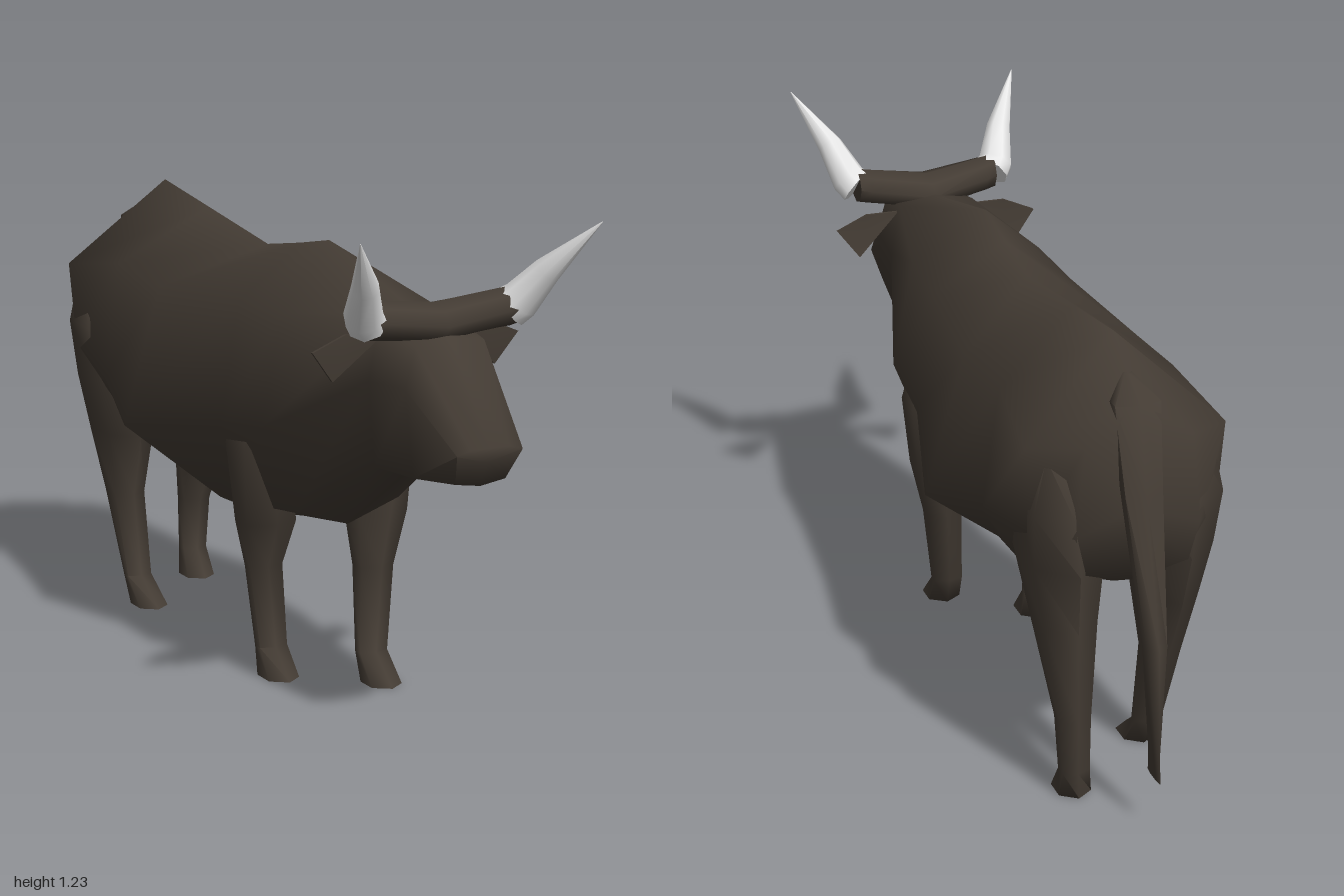
import * as THREE from 'three';
import { toCreasedNormals } from 'three/addons/utils/BufferGeometryUtils.js';

// Closed skin over a list of rings (each ring: the same number of [x, y, z] points)
function loft(rings, crease = 1.2) {
  const n = rings[0].length, pos = [], idx = [];
  rings.forEach(r => r.forEach(p => pos.push(...p)));
  for (let i = 0; i < rings.length - 1; i++) {
    for (let j = 0; j < n; j++) {
      const a = i * n + j, b = i * n + (j + 1) % n;
      idx.push(a, b, a + n, b, b + n, a + n);
    }
  }
  // end caps
  [0, rings.length - 1].forEach((k, end) => {
    const c = pos.length / 3, r = rings[k];
    pos.push(...[0, 1, 2].map(d => r.reduce((s, p) => s + p[d], 0) / n));
    for (let j = 0; j < n; j++) {
      const a = k * n + j, b = k * n + (j + 1) % n;
      idx.push(...(end ? [c, a, b] : [c, b, a]));
    }
  });
  // turn the faces outward
  const v = i => new THREE.Vector3().fromArray(pos, i * 3);
  let volume = 0;
  for (let i = 0; i < idx.length; i += 3) volume += v(idx[i]).dot(v(idx[i + 1]).cross(v(idx[i + 2])));
  if (volume < 0) idx.reverse();
  const g = new THREE.BufferGeometry();
  g.setAttribute('position', new THREE.Float32BufferAttribute(pos, 3));
  g.setIndex(idx);
  return toCreasedNormals(g, crease);
}

// Points around an ellipse; place(c, s) turns cosine and sine into a point
function ring(n, place) {
  return Array.from({ length: n }, (_, i) => {
    const t = (i / n + 0.25) * Math.PI * 2;
    return place(Math.cos(t), Math.sin(t));
  });
}

// Mirrored body section: z of ridge, sides and keel, then ridge, back edge, flank, lower edge, keel
function section([zT, zM, zB, top, ax, ay, bx, by, cx, cy, bottom]) {
  const side = [[ax, ay, zM], [bx, by, zM], [cx, cy, zB]];
  return [[0, top, zT], ...side, [0, bottom, zB], ...side.reverse().map(([x, y, z]) => [-x, y, z])];
}

// Six-sided leg; rows hold height, x centre, half width, rear z, front z
function leg(rows, side) {
  return loft(rows.map(([y, x, w, z0, z1]) =>
    ring(6, (c, s) => [side * x + w * c / 0.866, y, (z0 + z1) / 2 + (z1 - z0) / 2 * s])), 1.4);
}

export function createModel() {
  const group = new THREE.Group();
  const hide = new THREE.MeshStandardMaterial({ color: 0x443c34 });
  hide.name = 'dark brown hide';
  const horn = new THREE.MeshStandardMaterial({ color: 0xececec });
  horn.name = 'pale horn';
  const add = (name, geometry, material) => {
    const m = new THREE.Mesh(geometry, material);
    m.name = name;
    group.add(m);
  };

  // Head and trunk in one skin, from muzzle to rump
  const sections = [
    [1.0, 1.0, 0.96, 0.75, 0.05, 0.75, 0.085, 0.74, 0.065, 0.665, 0.655],
    [0.82, 0.82, 0.8, 0.965, 0.09, 0.955, 0.115, 0.86, 0.08, 0.645, 0.63],
    [0.67, 0.67, 0.63, 1.0, 0.1, 0.98, 0.125, 0.85, 0.085, 0.635, 0.61],
    [0.25, 0.33, 0.35, 1.1, 0.17, 0.95, 0.225, 0.68, 0.14, 0.47, 0.42],
    [0.1, 0.12, 0.12, 1.07, 0.18, 0.94, 0.228, 0.64, 0.14, 0.425, 0.385],
    [-0.07, -0.24, -0.14, 1.04, 0.22, 0.92, 0.32, 0.575, 0.1, 0.385, 0.335],
    [-0.4, -0.49, -0.5, 1.085, 0.215, 0.94, 0.258, 0.64, 0.17, 0.5, 0.45],
    [-0.66, -0.75, -0.68, 1.12, 0.242, 0.9, 0.222, 0.68, 0.17, 0.55, 0.5],
    [-0.83, -0.835, -0.82, 1.01, 0.13, 0.92, 0.15, 0.7, 0.13, 0.6, 0.57],
  ];
  add('body', loft(sections.map(section), 1.5), hide);

  // Legs in mid-stride, each flaring into a wedge hoof
  add('frontLegLeft', leg([
    [0.7, 0.15, 0.04, 0.18, 0.32], [0.6, 0.155, 0.06, 0.155, 0.34], [0.42, 0.127, 0.068, 0.185, 0.335],
    [0.28, 0.12, 0.045, 0.215, 0.307], [0.07, 0.1, 0.038, 0.265, 0.317], [0, 0.1, 0.042, 0.285, 0.4]], 1), hide);
  add('frontLegRight', leg([
    [0.7, 0.15, 0.04, 0.1, 0.27], [0.6, 0.155, 0.06, 0.07, 0.27], [0.4, 0.127, 0.068, 0.1, 0.225],
    [0.28, 0.12, 0.045, 0.11, 0.165], [0.07, 0.1, 0.038, 0.113, 0.165], [0, 0.1, 0.042, 0.115, 0.24]], -1), hide);
  add('hindLegLeft', leg([
    [0.88, 0.15, 0.05, -0.8, -0.7], [0.74, 0.15, 0.08, -0.835, -0.6], [0.6, 0.137, 0.085, -0.835, -0.53],
    [0.45, 0.137, 0.065, -0.825, -0.61], [0.21, 0.13, 0.038, -0.81, -0.725],
    [0.07, 0.125, 0.034, -0.797, -0.735], [0, 0.12, 0.04, -0.79, -0.675]], 1), hide);
  add('hindLegRight', leg([
    [0.88, 0.15, 0.05, -0.8, -0.7], [0.74, 0.15, 0.08, -0.835, -0.6], [0.6, 0.137, 0.085, -0.825, -0.51],
    [0.46, 0.137, 0.065, -0.775, -0.535], [0.29, 0.135, 0.043, -0.7, -0.585],
    [0.07, 0.125, 0.034, -0.615, -0.565], [0, 0.12, 0.04, -0.59, -0.47]], -1), hide);

  // Tail: y, half width, rear z, front z
  const tail = [
    [1.055, 0.01, -0.765, -0.74], [1.005, 0.055, -0.838, -0.77], [0.8, 0.045, -0.885, -0.82],
    [0.46, 0.025, -0.977, -0.92], [0.13, 0.003, -1.0, -0.92]];
  add('tail', loft(tail.map(([y, w, z0, z1]) =>
    ring(6, (c, s) => [w * c / 0.866, y, (z0 + z1) / 2 + (z1 - z0) / 2 * s]))), hide);

  // Thick bony ridge across the top of the head
  const ridge = [-0.188, -0.16, 0, 0.16, 0.188].map(x => {
    const k = Math.abs(x) / 0.188;
    return ring(8, (c, s) => [x, 0.99 + 0.025 * k + 0.046 * c, 0.745 + 0.027 * k * k + (0.075 - 0.025 * k) * s]);
  });
  add('hornRidge', loft(ridge), hide);

  for (const side of [1, -1]) {
    const label = side > 0 ? 'Left' : 'Right';

    // Horn: tapered curve, sweeping out, up and forward
    const path = new THREE.CatmullRomCurve3([[0.186, 1.012, 0.772], [0.205, 1.03, 0.788], [0.235, 1.105, 0.85], [0.31, 1.228, 0.96]]
      .map(([x, y, z]) => new THREE.Vector3(side * x, y, z)));
    const rings = [[0, 0.05], [0.33, 0.047], [0.67, 0.033], [1, 0.001]].map(([t, r]) => {
      const p = path.getPoint(t);
      const q = new THREE.Quaternion().setFromUnitVectors(new THREE.Vector3(0, 1, 0), path.getTangent(t));
      return ring(8, (c, s) => new THREE.Vector3(r * c, 0, r * s).applyQuaternion(q).add(p).toArray());
    });
    add('horn' + label, loft(rings), horn);

    // Ear: thin leaf swept slightly back
    const ear = [[0.1, 0.96, 0.692], [0.19, 0.965, 0.678], [0.272, 0.93, 0.674], [0.215, 0.855, 0.664]]
      .map(([x, y, z]) => [side * x, y, z]);
    add('ear' + label, loft([ear, ear.map(([x, y, z]) => [x, y, z - 0.008])], 0.3), hide);
  }
  return group;
}
